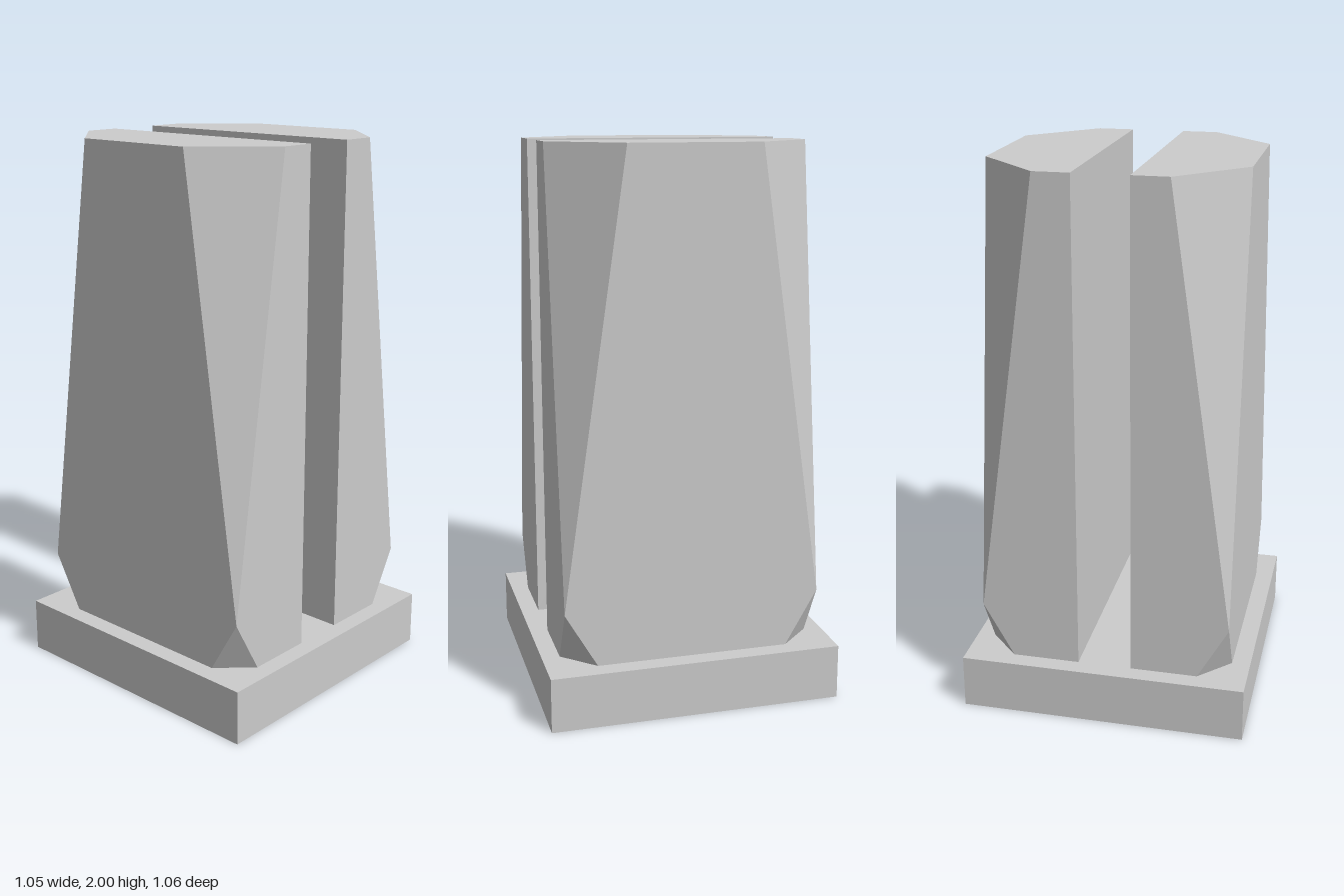
import * as THREE from 'three';
import { ConvexGeometry } from 'three/addons/geometries/ConvexGeometry.js';

const BASE_H = 0.2;      // plinth height
const TOP = 2;           // overall height
const WAIST = 0.4;       // height where the corner facets meet
const INNER = 0.098;     // half the gap between the towers
const OUTER = 0.456;     // outer face in x
const DEPTH = 0.466;     // front/back face in z

// Half tower block: a box whose two outer corners are cut by a long facet
// widening upward and a short facet widening downward.
function towerGeometry(side) {
  const points = [];
  const add = (x, y, z) => points.push(new THREE.Vector3(side * x, y, z));
  for (const s of [1, -1]) {
    add(INNER, BASE_H, s * DEPTH);
    add(INNER, TOP, s * DEPTH);
    // lower chamfer
    add(0.344, BASE_H, s * DEPTH);
    add(OUTER, BASE_H, s * 0.35);
    // full corner at the waist
    add(OUTER, WAIST, s * DEPTH);
    // upper chamfer
    add(0.228, TOP, s * DEPTH);
    add(OUTER, TOP, s * 0.233);
  }
  return new ConvexGeometry(points);
}

export function createModel() {
  const model = new THREE.Group();
  model.name = 'twinTower';
  const material = new THREE.MeshStandardMaterial({ color: 0xcccccc, flatShading: true });

  // Plinth
  const base = new THREE.Mesh(new THREE.BoxGeometry(1.046, BASE_H, 1.062), material);
  base.name = 'base';
  base.position.y = BASE_H / 2;
  model.add(base);

  // Mirrored towers
  for (const side of [1, -1]) {
    const tower = new THREE.Mesh(towerGeometry(side), material);
    tower.name = side > 0 ? 'leftTower' : 'rightTower';
    model.add(tower);
  }
  return model;
}
